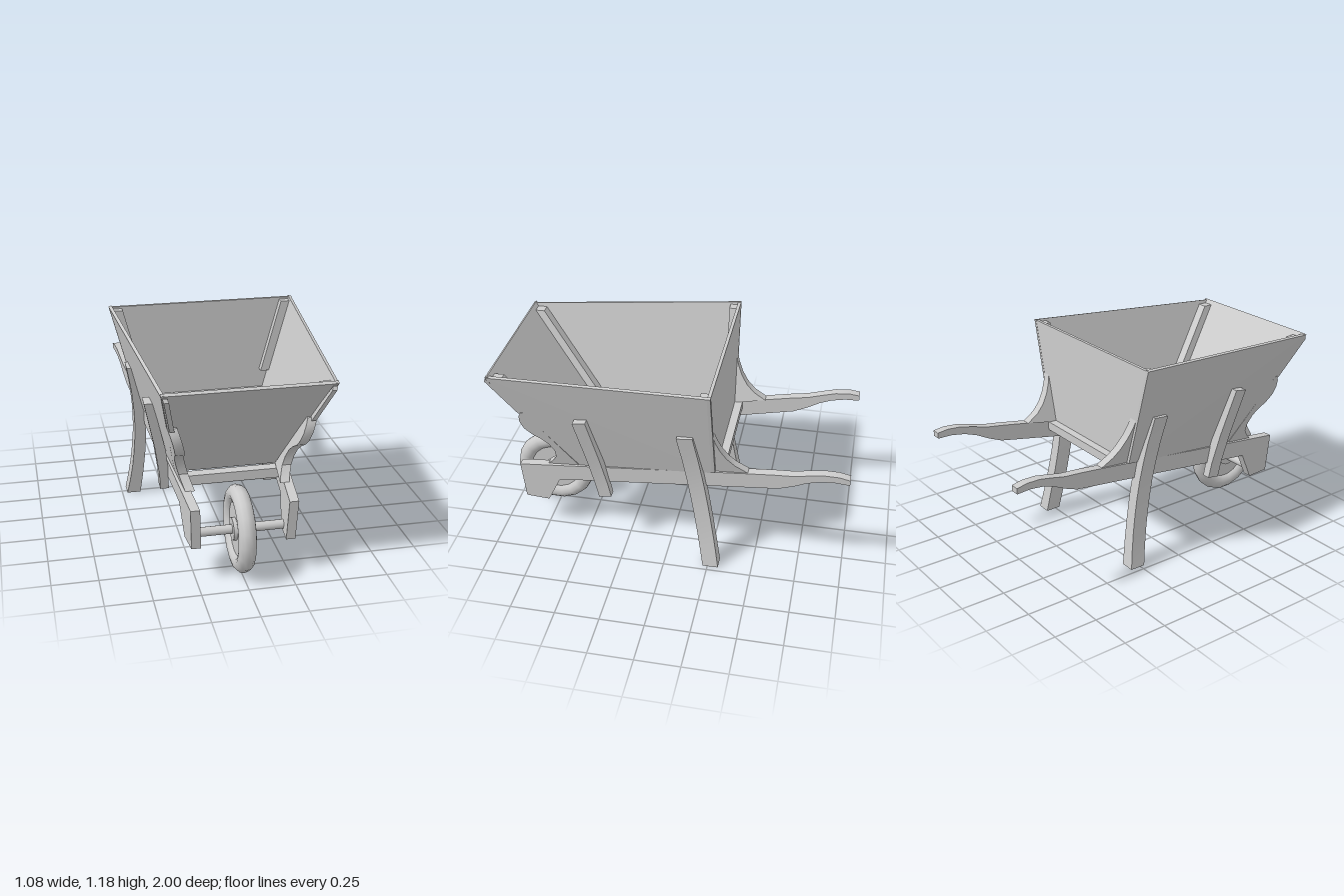
import * as THREE from 'three';
import { toCreasedNormals } from 'three/addons/utils/BufferGeometryUtils.js';
import { ConvexGeometry } from 'three/addons/geometries/ConvexGeometry.js';

const mat = new THREE.MeshStandardMaterial({ color: 0xcccccc });
const V = (x, y, z) => new THREE.Vector3(x, y, z);

function add(parent, name, geo) {
  const mesh = new THREE.Mesh(geo, mat);
  mesh.name = name;
  parent.add(mesh);
  return mesh;
}

// Board cut from a side profile of [z, y] points; outer(y, z) gives x of its outer face
function sideBoard(profile, thick, outer, s) {
  const shape = new THREE.Shape(profile.map(([z, y]) => new THREE.Vector2(-z, y)));
  const geo = new THREE.ExtrudeGeometry(shape, { depth: thick, bevelEnabled: false });
  geo.rotateY(Math.PI / 2);
  const p = geo.attributes.position;
  for (let i = 0; i < p.count; i++) {
    const f = outer(p.getY(i), p.getZ(i));
    p.setX(i, p.getX(i) + (s > 0 ? f - thick : -f));
  }
  return toCreasedNormals(geo, 0.6);
}

// Post cut from a front profile of [x, y] points, leaning from z0 (at y = 0) by lean per unit height
function leaningPost(profile, width, z0, lean, tilt, s) {
  const shape = new THREE.Shape(profile.map(([x, y]) => new THREE.Vector2(s * x, y)));
  const geo = new THREE.ExtrudeGeometry(shape, { depth: width, bevelEnabled: false });
  geo.translate(0, 0, -width / 2);
  const p = geo.attributes.position;
  for (let i = 0; i < p.count; i++) {
    const y = p.getY(i), d = p.getZ(i);
    p.setY(i, y - (y > 0.05 ? tilt * d : 0));
    p.setZ(i, d + z0 + lean * y);
  }
  return toCreasedNormals(geo, 0.6);
}

// Flat panel from four outer corners (counter-clockwise from outside), thickened inwards
function panel(corners, thick) {
  const n = corners[2].clone().sub(corners[0])
    .cross(corners[3].clone().sub(corners[1])).normalize();
  return new ConvexGeometry([...corners, ...corners.map(c => c.clone().addScaledVector(n, -thick))]);
}

// Bar from p to q with a horizontal rectangular section
function bar(p, q, dx, dz) {
  const pts = [];
  for (const c of [p, q]) for (const i of [0, dx]) for (const k of [0, dz])
    pts.push(V(c.x + i, c.y, c.z + k));
  return new ConvexGeometry(pts);
}

// x of the tray side and of the beam's outer face
const traySide = (y, z) => 0.30 + 0.278 * (y - 0.48) + 0.07 * (0.52 - z);
const beamSide = (y, z) => 0.276 + 0.04 * (y - 0.2) + 0.078 * (0.89 - z);

const beamProfile = [
  [0.89, 0.43], [0.87, 0.2], [0.73, 0.2], [0.65, 0.365], [-0.62, 0.57], [-0.7, 0.602], [-0.77, 0.638],
  [-0.84, 0.662], [-0.92, 0.674], [-1, 0.672], [-1, 0.704], [-0.94, 0.714], [-0.86, 0.71],
  [-0.78, 0.692], [-0.7, 0.672], [-0.6, 0.66], [-0.45, 0.638]];
const frontBracket = [
  [0.53, 0.485], [0.72, 0.455], [0.685, 0.49], [0.66, 0.53], [0.663, 0.58], [0.69, 0.63], [0.73, 0.665],
  [0.78, 0.695], [0.82, 0.735], [0.838, 0.785], [0.835, 0.83], [0.82, 0.862], [0.80, 0.862]];
const rearBracket = [
  [-0.26, 0.61], [-0.26, 0.90], [-0.275, 0.84], [-0.30, 0.78], [-0.335, 0.725], [-0.38, 0.68], [-0.45, 0.638]];
const frontStrip = [[0.795, 0.86], [0.835, 0.85], [0.99, 1.07], [0.98, 1.09]];
const legProfile = [
  [0.39, 0], [0.47, 0], [0.452, 0.1], [0.438, 0.2], [0.429, 0.3], [0.424, 0.4], [0.424, 0.5], [0.43, 0.6],
  [0.443, 0.72], [0.47, 0.87], [0.435, 0.87], [0.385, 0.67], [0.36, 0.55], [0.356, 0.42], [0.362, 0.28], [0.374, 0.14]];
const strutProfile = [[0.315, 0.33], [0.362, 0.33], [0.367, 0.42], [0.395, 0.6], [0.455, 0.88], [0.408, 0.88],
  [0.335, 0.58], [0.318, 0.44]];

export function createModel() {
  const model = new THREE.Group();
  model.name = 'wheelbarrow';

  // Tray
  const tray = new THREE.Group();
  tray.name = 'tray';
  model.add(tray);
  const FT = s => V(s * 0.44, 1.1, 0.98), FB = s => V(s * 0.30, 0.48, 0.52);
  const BT = s => V(s * 0.54, 1.18, -0.26), BB = s => V(s * 0.39, 0.61, -0.27);
  add(tray, 'frontPanel', panel([FB(-1), FB(1), FT(1), FT(-1)], 0.018));
  add(tray, 'backPanel', panel([BB(1), BB(-1), BT(-1), BT(1)], 0.018));
  add(tray, 'leftPanel', panel([FB(1), BB(1), BT(1), FT(1)], 0.018));
  add(tray, 'rightPanel', panel([BB(-1), FB(-1), FT(-1), BT(-1)], 0.018));
  add(tray, 'floor', panel([BB(-1), BB(1), FB(1), FB(-1)], 0.018));

  // Cross battens under the tray ends
  add(model, 'frontBatten', new THREE.BoxGeometry(0.52, 0.055, 0.06)).position.set(0, 0.448, 0.55);
  add(model, 'rearBatten', new THREE.BoxGeometry(0.70, 0.05, 0.055)).position.set(0, 0.592, -0.288);

  for (const s of [1, -1]) {
    const side = new THREE.Group();
    side.name = s > 0 ? 'leftSide' : 'rightSide';
    model.add(side);

    // Posts inside the tray corners
    const at = (a, b, t, dz) => b.clone().lerp(a, t).add(V(-s * 0.02, -0.012, dz));
    add(side, 'frontCornerPost', bar(at(FT(s), FB(s), 0.26, -0.024), at(FT(s), FB(s), 1, -0.024), -s * 0.055, -0.06));
    add(side, 'rearCornerPost', bar(at(BT(s), BB(s), 0.25, 0.015), at(BT(s), BB(s), 1, 0.015), -s * 0.055, 0.045));

    // Beam, brackets, leg and strut
    add(side, 'handleBeam', sideBoard(beamProfile, 0.05, beamSide, s));
    add(side, 'frontBracket', sideBoard(frontBracket, 0.05, traySide, s));
    add(side, 'frontStrip', sideBoard(frontStrip, 0.025, (y, z) => traySide(y, z) - 0.004, s));
    add(side, 'rearBracket', sideBoard(rearBracket, 0.05, (y, z) => traySide(y, z) - 0.02, s));
    add(side, 'leg', leaningPost(legProfile, 0.088, -0.267, 0.177, 0.1, s));
    add(side, 'strut', leaningPost(strutProfile, 0.072, 0.304, 0.188, 0.15, s));
  }

  // Wheel
  const wheel = new THREE.Group();
  wheel.name = 'wheel';
  wheel.position.set(0, 0.237, 0.767);
  model.add(wheel);
  add(wheel, 'tyre', new THREE.TorusGeometry(0.188, 0.048, 12, 18)).rotation.y = Math.PI / 2;
  for (const [name, r, len] of [['disc', 0.165, 0.045], ['hub', 0.062, 0.085], ['axle', 0.025, 0.48]]) {
    const geo = new THREE.CylinderGeometry(r, r, len, 18);
    add(wheel, name, geo).rotation.z = Math.PI / 2;
  }
  return model;
}
